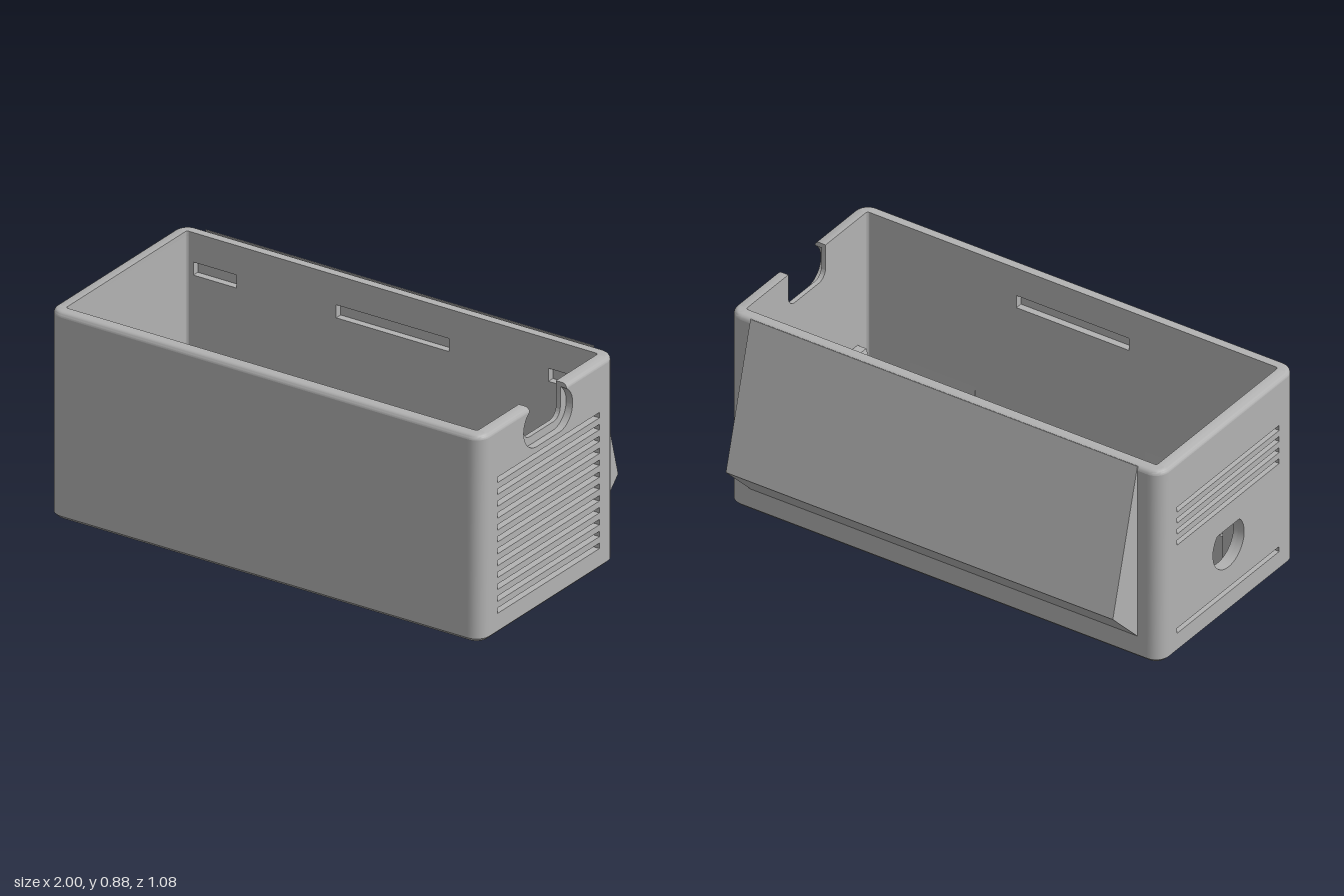
import * as THREE from 'three';
import { toCreasedNormals } from 'three/addons/utils/BufferGeometryUtils.js';

// Case dimensions
const X = 1, ZB = -0.375, ZF = 0.54, H = 0.875;
const R = 0.06, T = 0.05, EDGE = 0.02, CHAMFER = 0.015, FLOOR = 0.04;
const MID = 0.085; // z of the middle of the case
const Y0 = CHAMFER, Y1 = H - EDGE;

export function createModel() {
  const model = new THREE.Group();
  const grey = new THREE.MeshStandardMaterial({ name: 'plasticGrey', color: 0xb2b2b2 });

  const add = (name, geometry) => {
    const mesh = new THREE.Mesh(toCreasedNormals(geometry, 0.6), grey);
    mesh.name = name;
    model.add(mesh);
    return mesh;
  };
  const box = (name, x0, x1, y0, y1, z0, z1) =>
    add(name, new THREE.BoxGeometry(x1 - x0, y1 - y0, z1 - z0)
      .translate((x0 + x1) / 2, (y0 + y1) / 2, (z0 + z1) / 2));
  const poly = (pts) => new THREE.Shape(pts.map(([u, v]) => new THREE.Vector2(u, v)));
  const rect = (u0, u1, v0, v1) => poly([[u0, v0], [u1, v0], [u1, v1], [u0, v1]]);
  const extrude = (shape, depth) =>
    new THREE.ExtrudeGeometry(shape, { depth, bevelEnabled: false, curveSegments: 16 });
  // Shape drawn in (z, y), extruded from xMax towards -x
  const sidePlate = (name, shape, xMax, depth) =>
    add(name, extrude(shape, depth).rotateY(-Math.PI / 2).translate(xMax, 0, 0));

  // Outline of the case: rounded corners, each point with its outward normal
  const corner = (sx, sz) => {
    const start = { '1,-1': 0, '-1,-1': 1, '-1,1': 2, '1,1': 3 }[`${sx},${sz}`] * Math.PI / 2;
    const cx = sx * (X - R), cz = sz < 0 ? ZB + R : ZF - R;
    return Array.from({ length: 9 }, (_, i) => {
      const a = start + (i / 8) * Math.PI / 2;
      const nx = Math.cos(a), nz = -Math.sin(a);
      return { x: cx + R * nx, z: cz + R * nz, nx, nz };
    });
  };
  const corners = [[1, -1], [-1, -1], [-1, 1], [1, 1]].map(([sx, sz]) => corner(sx, sz));

  // Sweep a closed (inset, y) profile along outline points
  const sweep = (path, profile, closed = false) => {
    const n = profile.length, pos = [], idx = [];
    for (const p of path) {
      for (const [d, y] of profile) pos.push(p.x - d * p.nx, y, p.z - d * p.nz);
    }
    const rows = closed ? path.length : path.length - 1;
    for (let i = 0; i < rows; i++) {
      const k = (i + 1) % path.length;
      for (let j = 0; j < n; j++) {
        const m = (j + 1) % n;
        idx.push(i * n + j, k * n + j, k * n + m, i * n + j, k * n + m, i * n + m);
      }
    }
    if (!closed) {
      const e = (path.length - 1) * n;
      for (let j = 1; j < n - 1; j++) idx.push(0, j, j + 1, e, e + j + 1, e + j);
    }
    const g = new THREE.BufferGeometry();
    g.setAttribute('position', new THREE.Float32BufferAttribute(pos, 3));
    g.setIndex(idx);
    return g;
  };

  // Corner columns
  for (const c of corners) add('cornerColumn', sweep(c, [[0, Y0], [0, Y1], [T, Y1], [T, Y0]]));

  // Rounded top rim, open at the cable notch
  const rimProfile = [];
  for (let i = 0; i <= 4; i++) {
    const a = (i / 4) * Math.PI / 2;
    rimProfile.push([EDGE * (1 - Math.cos(a)), Y1 + EDGE * Math.sin(a)]);
  }
  rimProfile.push([T, H], [T, Y1]);
  const notch0 = MID - 0.125, notch1 = MID + 0.125;
  add('topRim', sweep([
    { x: X, z: notch0, nx: 1, nz: 0 }, ...corners.flat(), { x: X, z: notch1, nx: 1, nz: 0 },
  ], rimProfile));

  // Chamfered foot and floor with the display window
  add('baseChamfer', sweep(corners.flat(),
    [[CHAMFER, 0], [0, CHAMFER], [CHAMFER, 2 * CHAMFER]], true));
  const floor = poly(corners.flat().map((p) => [p.x - CHAMFER * p.nx, -(p.z - CHAMFER * p.nz)]));
  floor.holes.push(rect(-0.635, 0.63, -0.415, 0.25));
  add('floor', extrude(floor, FLOOR).rotateX(-Math.PI / 2));

  // Front and back walls with latch recesses on the inside
  const longWall = (name, zOuter, inward, recesses) => {
    const skin = 0.02, xw = X - R;
    const outer = rect(-xw, xw, Y0, Y1), inner = rect(-xw, xw, Y0, Y1);
    for (const [a, b] of recesses) inner.holes.push(rect(a, b, 0.695, 0.75));
    const place = (shape, from, to) => {
      const za = zOuter + inward * from, zb = zOuter + inward * to;
      add(name, extrude(shape, Math.abs(zb - za)).translate(0, 0, Math.min(za, zb)));
    };
    place(outer, 0, skin);
    place(inner, skin, T);
  };
  longWall('frontWall', ZF, -1, [[-0.26, 0.26]]);
  longWall('backWall', ZB, 1, [[-0.92, -0.72], [-0.26, 0.26], [0.72, 0.92]]);

  // Side walls with grooves
  const za = ZB + R, zb = ZF - R;
  const groove = (i) => {
    const y = 0.101 + i * 0.0503;
    return rect(-0.26, 0.425, y - 0.0115, y + 0.0115);
  };

  // Right wall: notch with a wider rounded recess on its outer face
  const notchedWall = (cut) => {
    const s = new THREE.Shape();
    s.moveTo(za, Y0);
    s.lineTo(zb, Y0);
    s.lineTo(zb, Y1);
    s.lineTo(notch1, Y1);
    cut(s);
    s.lineTo(notch0, Y1);
    s.lineTo(za, Y1);
    return s;
  };
  const outerSide = notchedWall((s) => {
    const a = Math.acos(0.05 / 0.09), cy = 0.78;
    s.absarc(MID + 0.075, cy, 0.09, a, -Math.PI / 2, true);
    s.absarc(MID - 0.075, cy, 0.09, -Math.PI / 2, -Math.PI - a, true);
  });
  const innerSide = notchedWall((s) => {
    const r = 0.045, y = 0.725;
    s.absarc(notch1 - r, y + r, r, 0, -Math.PI / 2, true);
    s.absarc(notch0 + r, y + r, r, -Math.PI / 2, -Math.PI, true);
  });
  for (let i = 0; i < 12; i++) outerSide.holes.push(groove(i));
  sidePlate('rightWallOuter', outerSide, X, 0.03);
  sidePlate('rightWallInner', innerSide, X - 0.03, T - 0.03);

  // Left wall: teardrop cable hole
  const teardrop = () => {
    const p = new THREE.Path(), r = 0.105, cy = 0.31;
    p.moveTo(MID, cy + r * Math.SQRT2);
    p.absarc(MID, cy, r, Math.PI * 0.75, Math.PI * 2.25, false);
    p.closePath();
    return p;
  };
  const leftOuter = rect(za, zb, Y0, Y1), leftInner = rect(za, zb, Y0, Y1);
  leftOuter.holes.push(teardrop(), ...[0, 8, 9, 10, 11].map(groove));
  leftInner.holes.push(teardrop());
  sidePlate('leftWallOuter', leftOuter, -X + 0.03, 0.03);
  sidePlate('leftWallInner', leftInner, -X + T, T - 0.03);

  // Slanted wedge on the back
  sidePlate('backWedge', poly([[ZB + 0.005, 0.1], [ZB + 0.005, H], [ZB, H], [-0.54, 0.265], [ZB, 0.1]]),
    0.895, 1.79);

  // Tapered support ribs inside the long walls
  for (const [x0, x1] of [[-0.635, -0.335], [0.45, 0.75]]) {
    for (const [z, s] of [[ZB + T, 1], [ZF - T, -1]]) {
      const rib = sidePlate('wallRib',
        poly([[z - s * 0.01, FLOOR], [z + s * 0.015, FLOOR], [z, 0.26], [z - s * 0.01, 0.26]]), x1, x1 - x0);
      rib.name = 'wallRib';
    }
  }

  // Board clips with sloped tips, and stepped posts, mirrored about the middle
  for (const s of [-1, 1]) {
    const zc = MID + s * 0.2925;
    const clip = (tip, slope, wall) => add('boardClip', extrude(poly([
      [wall, FLOOR], [tip, FLOOR], [tip, 0.22], [slope, 0.3], [wall, 0.3],
    ]), 0.095).translate(0, 0, zc - 0.0475));
    clip(-0.76, -0.785, -0.955);
    clip(0.885, 0.91, 0.955);
    const post = (name, x1, x0, y1, a, b) => {
      const p = MID + s * a, q = MID + s * b;
      box(name, x0, x1, FLOOR - 0.01, y1, Math.min(p, q), Math.max(p, q));
    };
    post('postBlock', -0.745, -0.955, 0.2, 0.165, 0.22);
    post('postStep', -0.88, -0.955, 0.3, 0.135, 0.168);
    post('postPeg', -0.775, -0.845, 0.27, 0.166, 0.19);
  }
  return model;
}
